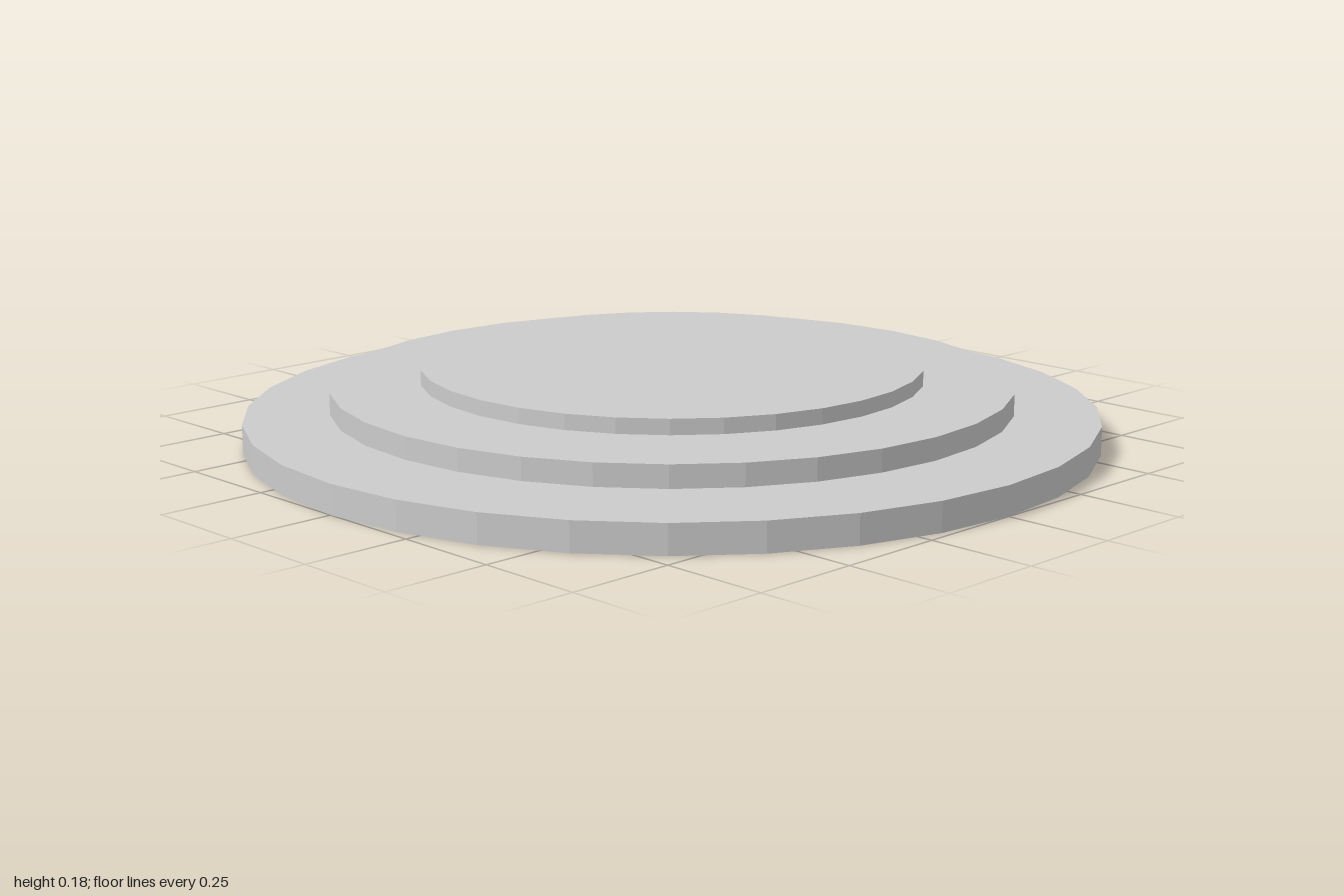
import * as THREE from 'three';

export function createModel() {
  const group = new THREE.Group();
  const material = new THREE.MeshStandardMaterial({ color: 0xcccccc, flatShading: true });

  // Three stacked discs with thin gaps between: name, radius, bottom, top
  const tiers = [
    ['baseDisc', 1.0, 0, 0.068],
    ['middleDisc', 0.8, 0.083, 0.135],
    ['topDisc', 0.59, 0.144, 0.18],
  ];
  for (const [name, radius, bottom, top] of tiers) {
    const disc = new THREE.Mesh(new THREE.CylinderGeometry(radius, radius, top - bottom, 32), material);
    disc.name = name;
    disc.position.y = (bottom + top) / 2;
    group.add(disc);
  }
  return group;
}
